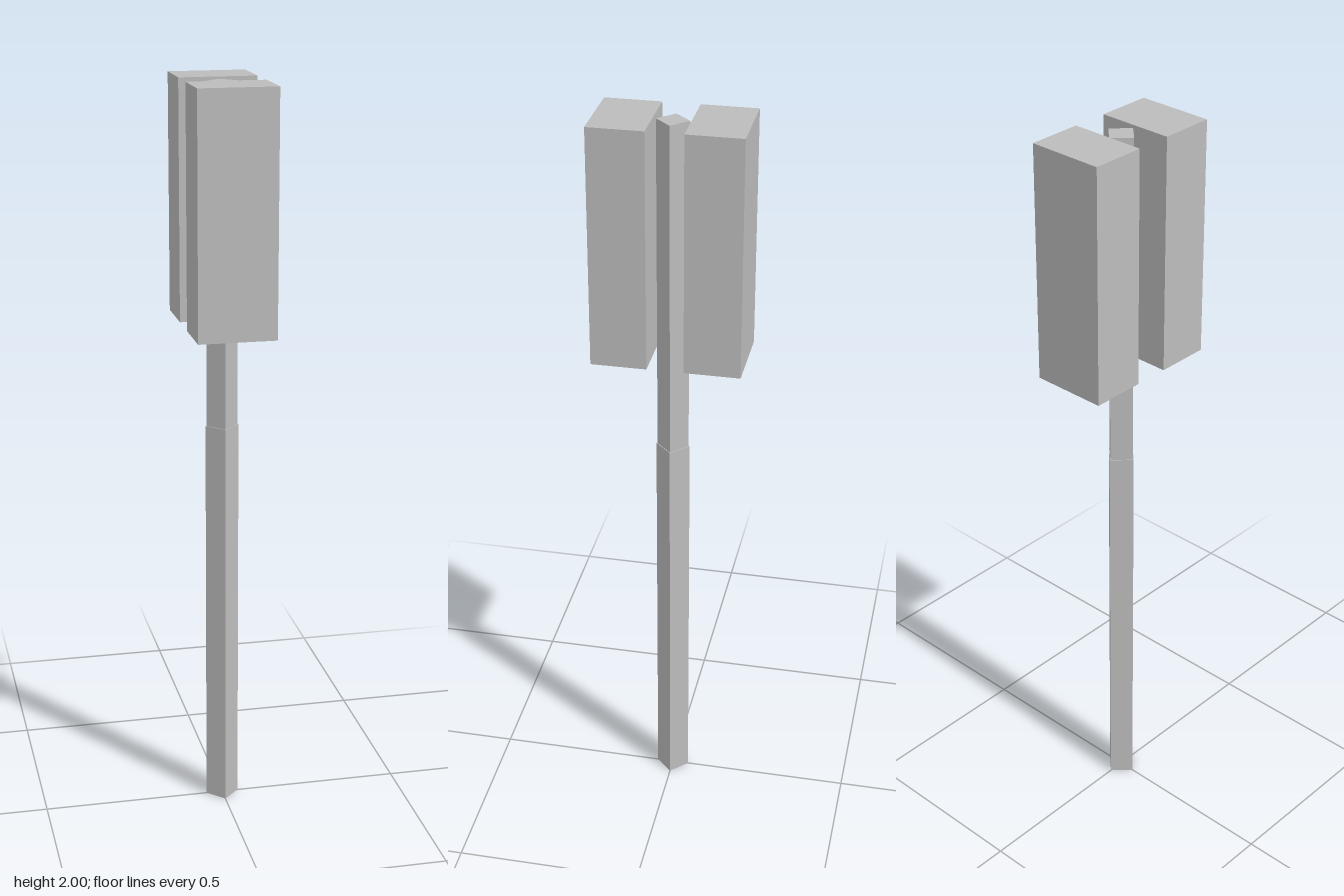
import * as THREE from 'three';

export function createModel() {
  const model = new THREE.Group();
  const grey = new THREE.MeshStandardMaterial({ color: 0xbcbcbc, flatShading: true, side: THREE.DoubleSide });
  grey.name = 'grey';

  // Four-sided post, set cornerwise, stepping in slightly and open at the foot
  const profile = [[0.045, 0], [0.045, 1.09], [0.042, 1.09], [0.042, 1.995], [0, 1.995]]
    .map(([r, y]) => new THREE.Vector2(r, y));
  const post = new THREE.Mesh(new THREE.LatheGeometry(profile, 4), grey);
  post.name = 'post';
  model.add(post);

  // Matching housings in front of and behind the post head
  const housing = new THREE.BoxGeometry(0.206, 0.635, 0.146);
  for (const side of [1, -1]) {
    const box = new THREE.Mesh(housing, grey);
    box.name = side > 0 ? 'frontHousing' : 'backHousing';
    box.position.set(0, 1.6825, side * 0.121);
    model.add(box);
  }
  return model;
}
